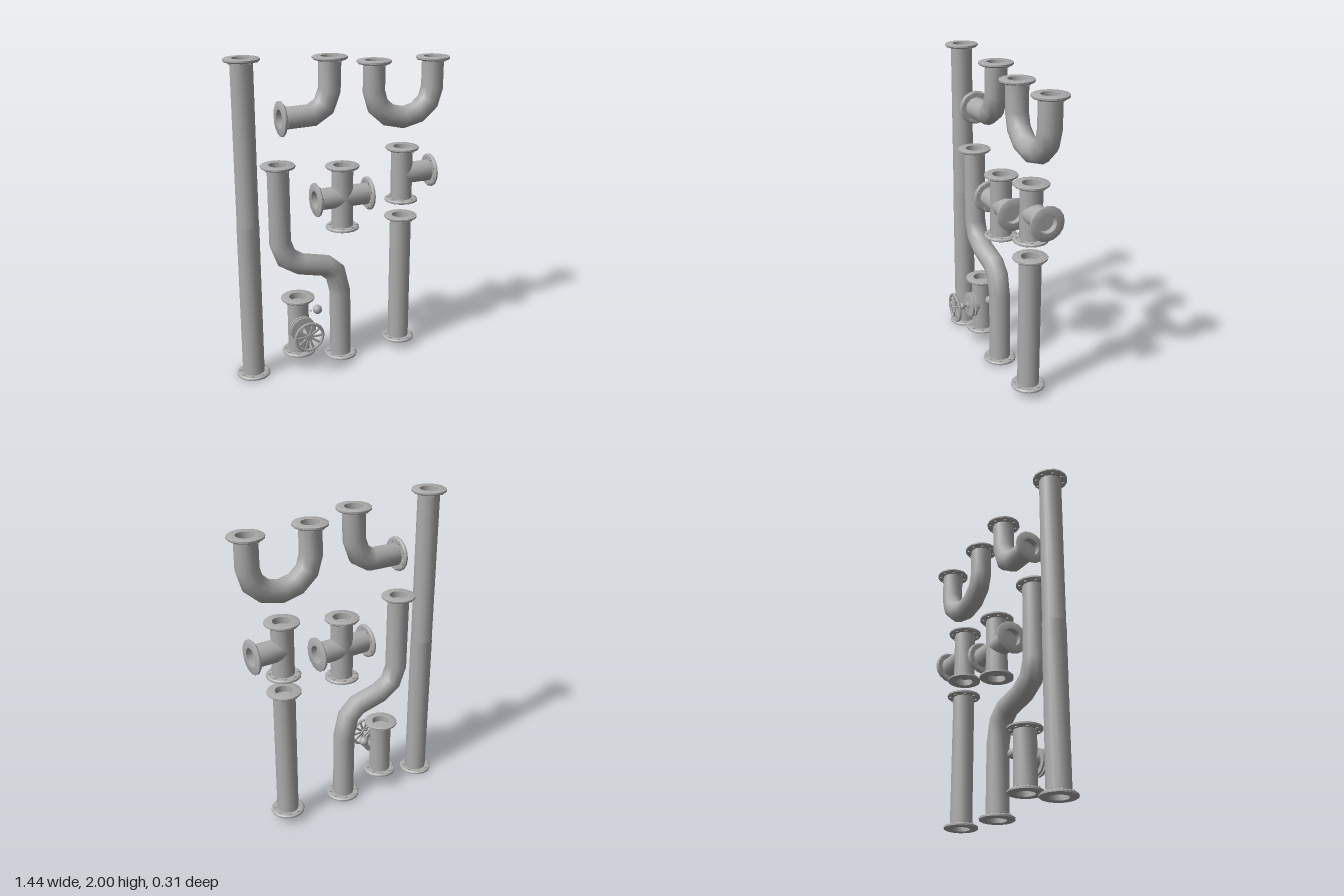
import * as THREE from 'three';
import { toCreasedNormals } from 'three/addons/utils/BufferGeometryUtils.js';

const steel = new THREE.MeshStandardMaterial({ color: 0xacacac });
steel.name = 'steel grey';
const R = 0.068, Z = -0.053, SIDES = 12;

function add(parent, name, geometry, x = 0, y = 0, z = 0) {
  const mesh = new THREE.Mesh(geometry, steel);
  mesh.name = name;
  mesh.position.set(x, y, z);
  parent.add(mesh);
  return mesh;
}

const lathe = (profile, sides) =>
  toCreasedNormals(new THREE.LatheGeometry(profile.map(p => new THREE.Vector2(...p)), sides), 0.6);

// Round pipe swept along a path in the xy plane, with mitred rings at the bends
function pipe(parent, name, path, r = R) {
  const pts = path.map(p => new THREE.Vector2(...p));
  const pos = [], index = [];
  pts.forEach((p, i) => {
    const a = pts[Math.max(i - 1, 0)], b = pts[Math.min(i + 1, pts.length - 1)];
    const d0 = (i ? p.clone().sub(a) : b.clone().sub(p)).normalize();
    const d1 = (i < pts.length - 1 ? b.clone().sub(p) : d0.clone()).normalize();
    const t = d0.clone().add(d1).normalize();
    const k = r / t.dot(d0);
    for (let j = 0; j < SIDES; j++) {
      const u = (j / SIDES) * Math.PI * 2, c = Math.cos(u) * k;
      pos.push(p.x - t.y * c, p.y + t.x * c, Math.sin(u) * r);
    }
    if (i) for (let j = 0; j < SIDES; j++) {
      const n = (j + 1) % SIDES, o = (i - 1) * SIDES, q = i * SIDES;
      index.push(o + j, o + n, q + j, o + n, q + n, q + j);
    }
  });
  const g = new THREE.BufferGeometry();
  g.setAttribute('position', new THREE.Float32BufferAttribute(pos, 3));
  g.setIndex(index);
  g.computeVertexNormals();
  return add(parent, name, g);
}

// Flange with a recessed bore; its outer face is at the origin facing +y
const flangeGeometry = lathe([
  [0.05, -0.02], [0.097, -0.02], [0.106, -0.013], [0.106, -0.003], [0.101, 0],
  [0.056, 0], [0.056, -0.04], [0, -0.04],
], 16);
const boltGeometry = toCreasedNormals(new THREE.CylinderGeometry(0.011, 0.011, 0.008, 6), 0.6);

function flange(parent, x, y, angle) {
  const g = new THREE.Group();
  g.name = 'flange';
  g.position.set(x, y, 0);
  g.rotation.z = angle;
  add(g, 'flangeRing', flangeGeometry);
  for (let i = 0; i < 8; i++) {
    const a = ((i + 0.5) / 8) * Math.PI * 2;
    add(g, 'bolt', boltGeometry, Math.cos(a) * 0.084, -0.022, Math.sin(a) * 0.084);
  }
  parent.add(g);
}
const UP = 0, DOWN = Math.PI, LEFT = -Math.PI / 2, RIGHT = Math.PI / 2;

function section(root, name) {
  const g = new THREE.Group();
  g.name = name;
  g.position.z = Z;
  root.add(g);
  return g;
}

// Gate valve with its bonnet, stem and spoked handwheel along +z
function valve(root) {
  const g = section(root, 'valve');
  const x = -0.31, y = 0.287;
  pipe(g, 'valveBody', [[x, 0.11], [x, 0.465]]);
  flange(g, x, 0.48, UP);
  flange(g, x, 0.095, DOWN);

  const axis = new THREE.Group();
  axis.name = 'valveControl';
  axis.position.set(x, y, -Z);
  axis.rotation.x = Math.PI / 2;
  g.add(axis);
  add(axis, 'bonnet', lathe([
    [0.055, -0.06], [0.055, 0.012], [0.083, 0.012], [0.083, 0.024], [0.05, 0.024],
    [0.05, 0.034], [0.083, 0.034], [0.083, 0.047], [0.03, 0.05], [0, 0.05],
  ], 16));
  add(axis, 'stem', lathe([
    [0.024, 0.048], [0.024, 0.056], [0.012, 0.062], [0.012, 0.074], [0.022, 0.082],
    [0.024, 0.096], [0.014, 0.106], [0.012, 0.132], [0, 0.132],
  ], 10));
  add(axis, 'handwheelHub', new THREE.CylinderGeometry(0.024, 0.024, 0.024, 10), 0, 0.143, 0);
  const rim = new THREE.TorusGeometry(0.09, 0.01, 6, 20);
  rim.rotateX(Math.PI / 2);
  add(axis, 'handwheelRim', rim, 0, 0.145, 0);
  const spoke = new THREE.BoxGeometry(0.07, 0.009, 0.013);
  spoke.translate(0.052, 0, 0);
  for (let i = 0; i < 10; i++) {
    add(axis, 'handwheelSpoke', spoke, 0, 0.145, 0).rotation.y = (i / 10) * Math.PI * 2;
  }

  // Loose round knob beside the body
  add(g, 'knob', new THREE.SphereGeometry(0.03, 10, 8), -0.178, 0.363, 0);
  add(g, 'knobPin', new THREE.SphereGeometry(0.007, 6, 4), -0.225, 0.363, 0);
}

export function createModel() {
  const root = new THREE.Group();
  root.name = 'pipeSet';

  // Long pipe in two lengths
  const long = section(root, 'longPipe');
  pipe(long, 'lowerLength', [[-0.618, 0.015], [-0.618, 1.003]], 0.07);
  pipe(long, 'upperLength', [[-0.618, 0.99], [-0.618, 1.985]]);
  flange(long, -0.618, 2, UP);
  flange(long, -0.618, 0, DOWN);

  // Short pipe
  const short = section(root, 'shortPipe');
  pipe(short, 'shortLength', [[0.406, 0.065], [0.406, 0.915]]);
  flange(short, 0.406, 0.93, UP);
  flange(short, 0.406, 0.05, DOWN);

  // Elbow
  const elbow = section(root, 'elbow');
  pipe(elbow, 'elbowTube', [[-0.385, 1.632], [-0.2, 1.637], [-0.122, 1.685], [-0.086, 1.78], [-0.081, 1.965]]);
  flange(elbow, -0.081, 1.98, UP);
  flange(elbow, -0.403, 1.632, RIGHT);

  // U bend
  const uBend = section(root, 'uBend');
  const arc = [];
  for (let i = 0; i <= 6; i++) {
    const a = Math.PI * (1 + i / 6);
    arc.push([0.406 + 0.2 * Math.cos(a), 1.745 + 0.175 * Math.sin(a)]);
  }
  pipe(uBend, 'uTube', [[0.206, 1.92], ...arc, [0.606, 1.92]]);
  flange(uBend, 0.206, 1.937, UP);
  flange(uBend, 0.606, 1.937, UP);

  // Offset S bend
  const sBend = section(root, 'sBend');
  pipe(sBend, 'sTube', [
    [-0.42, 1.34], [-0.418, 0.86], [-0.378, 0.755], [-0.29, 0.7],
    [-0.12, 0.66], [-0.053, 0.6], [-0.022, 0.47], [-0.017, 0.03],
  ]);
  flange(sBend, -0.42, 1.357, UP);
  flange(sBend, -0.015, 0.012, DOWN);

  // Four-way cross
  const cross = section(root, 'cross');
  pipe(cross, 'crossUpright', [[-0.003, 0.915], [-0.003, 1.295]]);
  pipe(cross, 'crossArm', [[-0.17, 1.105], [0.165, 1.105]]);
  flange(cross, -0.003, 1.31, UP);
  flange(cross, -0.003, 0.898, DOWN);
  flange(cross, 0.18, 1.105, LEFT);
  flange(cross, -0.187, 1.105, RIGHT);

  // Tee
  const tee = section(root, 'tee');
  pipe(tee, 'teeUpright', [[0.406, 1.045], [0.406, 1.37]]);
  pipe(tee, 'teeBranch', [[0.4, 1.207], [0.6, 1.207]]);
  flange(tee, 0.406, 1.385, UP);
  flange(tee, 0.406, 1.028, DOWN);
  flange(tee, 0.614, 1.207, LEFT);

  valve(root);
  return root;
}
